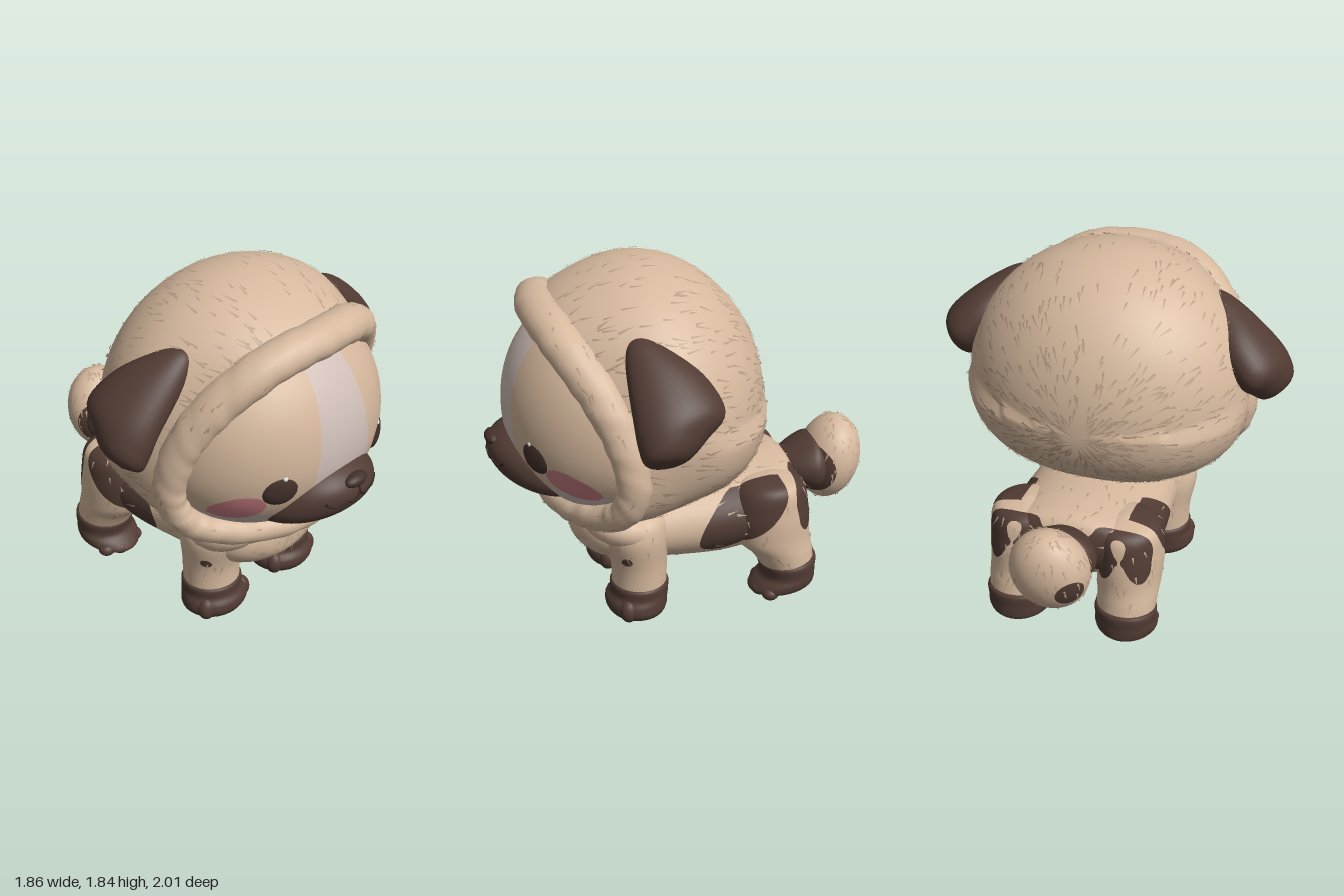
import * as THREE from 'three';
import { mergeVertices } from 'three/addons/utils/BufferGeometryUtils.js';

const V = (x, y, z) => new THREE.Vector3(x, y, z);
const material = (name, color) => Object.assign(new THREE.MeshStandardMaterial({ color }), { name });

export function createModel() {
  const root = new THREE.Group();
  root.name = 'puppy';
  const fur = material('tan fur', 0xd6b99e);
  const brown = material('brown markings', 0x523c34);
  const skin = material('tan face', 0xd3b69b);
  const pale = material('pale face', 0xcfbeb7);
  const blush = material('pink blush', 0xca7f84);
  const dark = material('dark line', 0x33231f);
  const eyeMat = material('eye brown', 0x43302a);
  const white = material('eye glint', 0xf2eeea);
  const strand = material('fur strands', 0xb79c83);
  strand.side = THREE.DoubleSide;

  let seed = 7;
  const rand = () => (seed = (seed * 16807) % 2147483647) / 2147483647;

  // Smooth skin from fn(u, v); each field k is cut out exactly where it is positive and gets mats[k + 1]
  function skinMesh(name, fn, nu, nv, mats, fields = []) {
    const mean = V(0, 0, 0), pts = [];
    for (let j = 0; j <= nv; j++) for (let i = 0; i <= nu; i++) {
      pts.push(fn(i === nu ? 0 : i / nu, j / nv));
      mean.add(pts.at(-1));
    }
    mean.divideScalar(pts.length);
    const lists = mats.map(() => []);
    for (let j = 0; j < nv; j++) for (let i = 0; i < nu; i++) {
      const a = j * (nu + 1) + i, c = a + nu + 1;
      lists[0].push([pts[a], pts[a + 1], pts[c + 1]], [pts[a], pts[c + 1], pts[c]]);
    }
    fields.forEach((field, k) => {
      const rest = [];
      for (const t of lists[0]) {
        const f = t.map(field), inside = [], outside = [];
        t.forEach((p, i) => {
          const n = (i + 1) % 3;
          (f[i] > 0 ? inside : outside).push(p);
          if (f[i] > 0 === f[n] > 0) return;
          const cut = p.clone().lerp(t[n], f[i] / (f[i] - f[n]));
          inside.push(cut); outside.push(cut);
        });
        for (const [poly, out] of [[inside, lists[k + 1]], [outside, rest]])
          for (let i = 2; i < poly.length; i++) out.push([poly[0], poly[i - 1], poly[i]]);
      }
      lists[0] = rest;
    });
    const volume = lists.flat().reduce((sum, t) => {
      const [A, B, C] = t.map(p => p.clone().sub(mean));
      return sum + A.dot(B.cross(C));
    }, 0);
    let geo = new THREE.BufferGeometry().setFromPoints(lists.flat().flatMap(t => (volume < 0 ? [t[0], t[2], t[1]] : t)));
    let start = 0;
    lists.forEach((l, k) => { geo.addGroup(start, l.length * 3, k); start += l.length * 3; });
    geo = mergeVertices(geo, 1e-5);
    geo.computeVertexNormals();
    const mesh = new THREE.Mesh(geo, mats.length > 1 ? mats : mats[0]);
    mesh.name = name;
    root.add(mesh);
  }

  // Loft of ellipses: rings of [x, y, z, radiusU, radiusW]
  function loft(rings, U, W) {
    const mid = new THREE.CatmullRomCurve3(rings.map(r => V(r[0], r[1], r[2])), false, 'catmullrom');
    const rad = new THREE.CatmullRomCurve3(rings.map(r => V(r[3], r[4], 0)), false, 'catmullrom');
    return (u, v) => {
      const a = u * Math.PI * 2, r = rad.getPoint(v);
      return mid.getPoint(v).addScaledVector(U, Math.max(r.x, 0) * Math.cos(a)).addScaledVector(W, Math.max(r.y, 0) * Math.sin(a));
    };
  }
  const X = V(1, 0, 0), Y = V(0, 1, 0), Z = V(0, 0, 1);
  const mirror = (fn, s) => (u, v) => { const p = fn(u, v); p.x *= s; return p; };

  function ball(name, mat, [x, y, z], [a, b, c], yaw = 0) {
    const m = new THREE.Mesh(new THREE.SphereGeometry(1, 24, 14), mat);
    m.position.set(x, y, z); m.scale.set(a, b, c); m.rotation.y = yaw; m.name = name;
    root.add(m);
    return m;
  }

  // Slim raised strands scattered over a surface, combed along v
  function strands(name, fn, count, length, centre, v0 = 0.03, v1 = 0.92) {
    const pos = [];
    for (let k = 0; k < count; k++) {
      const u = rand() * 0.98, v = v0 + (v1 - v0) * rand(), p = fn(u, v);
      const dv = fn(u, v + 0.01).sub(p).normalize(), du = fn(u + 0.01, v).sub(p).normalize();
      const n = du.clone().cross(dv).normalize();
      if (n.dot(p.clone().sub(centre)) < 0) n.negate();
      const dir = dv.addScaledVector(du, (rand() - 0.5) * 0.7).normalize();
      const side = dir.clone().cross(n).multiplyScalar(0.006);
      const base = p.clone().addScaledVector(n, 0.004);
      const tip = base.clone().addScaledVector(dir, length * (0.6 + 0.7 * rand())).addScaledVector(n, 0.003);
      pos.push(base.clone().add(side), tip, base.clone().sub(side));
    }
    const g = new THREE.BufferGeometry().setFromPoints(pos);
    g.computeVertexNormals();
    const m = new THREE.Mesh(g, strand);
    m.name = name;
    root.add(m);
  }

  // Distance to a superellipsoid along d, with separate upper and lower heights
  const reach = (d, rx, up, down, rz, p) => Math.pow(
    Math.abs(d.x / rx) ** p + Math.abs(d.y / (d.y > 0 ? up : down)) ** p + Math.abs(d.z / rz) ** p, -1 / p);

  // Hood: sweeps from the rim curve to the back of the head
  const half = [[0.3, 1.565, 0.65], [0.52, 1.38, 0.52], [0.635, 1.15, 0.42], [0.66, 0.91, 0.38], [0.57, 0.735, 0.44], [0.33, 0.645, 0.57]];
  const rim = new THREE.CatmullRomCurve3([V(0, 1.61, 0.7), ...half.map(p => V(...p)), V(0, 0.62, 0.66),
    ...half.slice().reverse().map(p => V(-p[0], p[1], p[2]))], true, 'catmullrom');
  const C = V(0, 1.12, 0.22), back = V(0, -0.05, -1).normalize();
  const hood = (u, v) => {
    const d0 = rim.getPoint(u % 1).sub(C), r0 = d0.length() + 0.02;
    d0.normalize();
    const ang = d0.angleTo(back);
    const d = d0.multiplyScalar(Math.sin((1 - v) * ang)).addScaledVector(back, Math.sin(v * ang)).normalize();
    const r = THREE.MathUtils.lerp(r0, reach(d, 0.755, 0.71, 0.5, 0.63, d.y > 0 ? 2 : 2.3), THREE.MathUtils.smoothstep(v, 0, 0.34));
    return d.multiplyScalar(r).add(C);
  };
  skinMesh('hood', hood, 72, 44, [fur]);
  strands('hoodFur', hood, 1100, 0.075, C);

  // Puffy rim around the face
  const rimTube = (u, v) => {
    const p = rim.getPoint(v % 1), t = rim.getTangent(v % 1), a = u * Math.PI * 2;
    const n = p.clone().sub(V(0, 1.1, p.z));
    n.addScaledVector(t, -n.dot(t)).normalize();
    const b = t.clone().cross(n), w = v * Math.PI * 2;
    const s = 0.071 + 0.02 * THREE.MathUtils.smoothstep(p.y, 0.8, 1.55) + 0.003 * Math.sin(w * 29 + 3 * Math.sin(a)) * Math.sin(w * 7 + a);
    return p.addScaledVector(n, s * Math.cos(a)).addScaledVector(b, s * 1.15 * Math.sin(a));
  };
  skinMesh('hoodRim', rimTube, 18, 200, [fur]);
  strands('rimFur', rimTube, 180, 0.045, V(0, 1.1, 0.4));

  // Face with blush, pale blaze and pale chin
  const face = (u, v) => {
    const a = u * Math.PI * 2, th = v * 1.45;
    const d = V(Math.sin(th) * Math.cos(a), Math.sin(th) * Math.sin(a), Math.cos(th));
    return d.multiplyScalar(reach(d, 0.66, 0.6, 0.52, 0.6, 2.1)).add(V(0, 1.08, 0.3));
  };
  skinMesh('face', face, 90, 60, [skin, blush, pale], [
    p => 0.085 - Math.hypot(Math.abs(p.x) - 0.48, p.y - 0.88),
    p => Math.max(0.125 + (1.5 - p.y) * 0.14 - Math.abs(p.x), 0.82 - p.y)]);

  // Muzzle, nose and mouth
  const power = (x, e) => Math.sign(x) * Math.abs(x) ** e;
  const onMuzzle = (dx, dy, dz) => V(0.325 * dx * (1 - 0.2 * dy), 0.85 + 0.183 * dy, 0.68 + 0.3 * dz + 0.07 * dy);
  skinMesh('muzzle', (u, v) => {
    const a = u * Math.PI * 2, r = Math.sin(v * Math.PI);
    return onMuzzle(r * power(Math.cos(a), 0.85), r * power(Math.sin(a), 0.85), Math.cos(v * Math.PI));
  }, 48, 32, [brown]);
  const mouthPoint = (x, y) => {
    const dy = (y - 0.85) / 0.183, dx = x / 0.325 / (1 - 0.2 * dy);
    const r = (Math.abs(dx) ** 2.353 + Math.abs(dy) ** 2.353) ** 0.425;
    return onMuzzle(dx, dy, Math.sqrt(1 - r * r));
  };
  ball('nose', eyeMat, [0, 0.955, 0.958], [0.075, 0.033, 0.04]);
  const lip = [[0, 0.93], [0.005, 0.895], [0.045, 0.865], [0.09, 0.875], [0.13, 0.86], [0.17, 0.87], [0.185, 0.89]];
  for (const s of [1, -1]) {
    const curve = new THREE.CatmullRomCurve3(lip.map(([x, y]) => mouthPoint(x * s, y)));
    const line = new THREE.Mesh(new THREE.TubeGeometry(curve, 32, 0.006, 6), dark);
    line.name = 'mouth';
    root.add(line);
    ball('eye', eyeMat, [0.35 * s, 1.0, 0.778], [0.1, 0.097, 0.045], 0.55 * s);
    ball('eyeGlint', white, [0.345 * s, 1.055, 0.816], [0.013, 0.014, 0.01], 0.52 * s);
  }

  // Folded ears
  const ear = loft([[0.46, 1.6, 0.31, 0, 0], [0.49, 1.58, 0.305, 0.05, 0.06], [0.55, 1.525, 0.27, 0.085, 0.12], [0.65, 1.43, 0.215, 0.115, 0.185],
    [0.765, 1.31, 0.19, 0.13, 0.212], [0.82, 1.22, 0.235, 0.125, 0.16], [0.855, 1.145, 0.27, 0.095, 0.1], [0.865, 1.12, 0.28, 0, 0]],
    V(0.74, 0.67, 0), Z);
  for (const s of [1, -1]) skinMesh('ear', mirror(ear, s), 32, 32, [brown]);

  // Coat patches shared by body and legs
  const patches = p => {
    const x = Math.abs(p.x), dz = p.z + 0.24, dy = p.y - 0.53;
    const along = (-dz * 0.4 + dy * 0.32) / 0.51, across = (dz * 0.32 + dy * 0.4) / 0.51;
    const flank = 1 - Math.hypot(along / 0.27, across / 0.125);
    const rump = 1 - Math.hypot((p.z + 0.55 + (0.66 - p.y) * 0.14) / 0.05, (p.y - 0.55) / 0.14);
    const spot = 1 - Math.hypot(p.z - 0.37, p.y - 0.365) / 0.026;
    return Math.max(Math.min(flank, (x - 0.28) * 5), Math.min(rump, (x - 0.06) * 9, (0.43 - x) * 9), Math.min(spot, (x - 0.3) * 9));
  };
  const body = loft([[0, 0.48, 0.6, 0, 0], [0, 0.48, 0.57, 0.22, 0.13], [0, 0.47, 0.42, 0.36, 0.21], [0, 0.46, 0.1, 0.38, 0.24],
    [0, 0.47, -0.2, 0.4, 0.25], [0, 0.51, -0.42, 0.39, 0.22], [0, 0.56, -0.56, 0.32, 0.14], [0, 0.57, -0.62, 0, 0]], X, Y);
  skinMesh('body', body, 64, 56, [fur, brown], [patches]);
  strands('bodyFur', body, 220, 0.055, V(0, 0.47, 0));

  // Legs, paws and chest ruff
  const hindTilt = V(0, -0.1, 1);
  const frontLeg = loft([[0.24, 0.63, 0.3, 0, 0], [0.25, 0.58, 0.3, 0.15, 0.15], [0.275, 0.48, 0.3, 0.175, 0.17], [0.27, 0.3, 0.28, 0.155, 0.145],
    [0.27, 0.13, 0.28, 0.15, 0.14]], X, Z);
  const frontPaw = loft([[0.27, 0.19, 0.28, 0.1, 0.1], [0.27, 0.185, 0.28, 0.158, 0.148], [0.27, 0.13, 0.28, 0.16, 0.15], [0.265, 0.09, 0.295, 0.182, 0.16],
    [0.265, 0.04, 0.295, 0.18, 0.155], [0.265, 0.005, 0.29, 0.13, 0.12], [0.265, 0.003, 0.29, 0, 0]], X, Z);
  const hindLeg = loft([[0.26, 0.7, -0.42, 0, 0], [0.265, 0.66, -0.42, 0.155, 0.16], [0.28, 0.52, -0.41, 0.172, 0.21], [0.285, 0.36, -0.43, 0.165, 0.2],
    [0.29, 0.27, -0.48, 0.155, 0.165], [0.29, 0.17, -0.52, 0.148, 0.14]], X, Z);
  const hindPaw = loft([[0.29, 0.215, -0.515, 0.1, 0.1], [0.29, 0.21, -0.515, 0.157, 0.15], [0.29, 0.14, -0.52, 0.155, 0.145], [0.29, 0.1, -0.5, 0.162, 0.165],
    [0.29, 0.06, -0.485, 0.15, 0.175], [0.29, 0.04, -0.485, 0.1, 0.13], [0.29, 0.04, -0.485, 0, 0]], X, hindTilt);
  for (const s of [1, -1]) {
    skinMesh('frontLeg', mirror(frontLeg, s), 40, 36, [fur, brown], [patches]);
    skinMesh('frontPaw', mirror(frontPaw, s), 32, 24, [brown]);
    skinMesh('hindLeg', mirror(hindLeg, s), 48, 44, [fur, brown], [patches]);
    skinMesh('hindPaw', mirror(hindPaw, s), 32, 24, [brown]);
    strands('frontLegFur', mirror(frontLeg, s), 25, 0.05, V(0.27 * s, 0.35, 0.28), 0.3, 0.8);
    strands('hindLegFur', mirror(hindLeg, s), 40, 0.05, V(0.28 * s, 0.4, -0.45), 0.2, 0.85);
    for (let k = 0; k < 4; k++) {
      const off = (k - 1.5) * 0.085, bend = Math.abs(k - 1.5) * 0.035;
      ball('frontToe', brown, [(0.265 + off) * s, 0.068, 0.415 - bend], [0.05, 0.062, 0.047]);
      ball('hindToe', brown, [(0.29 + off * 0.8) * s, 0.05, -0.345 - bend], [0.044, 0.035, 0.045]);
      // Layered tufts across the chest
      const tuft = ball('chestTuft', fur, [(0.05 + k * 0.095) * s, 0.43 + k * 0.012, 0.525 - k * k * 0.014], [0.07, 0.1, 0.05], 0.25 * k * s);
      tuft.rotation.z = 0.3 * s;
    }
    ball('shoulderRuff', fur, [0.27 * s, 0.52, 0.34], [0.18, 0.115, 0.23]).rotation.x = -0.25;
  }

  // Curled tail: brown base and fluffy end with a dark curl centre
  const tailBase = loft([[0, 0.59, -0.52, 0, 0], [0, 0.59, -0.54, 0.08, 0.07], [0, 0.6, -0.6, 0.145, 0.1], [0, 0.605, -0.68, 0.188, 0.14],
    [0, 0.61, -0.74, 0.188, 0.15], [0, 0.61, -0.81, 0.12, 0.1], [0, 0.61, -0.82, 0, 0]], X, Y);
  skinMesh('tailBase', tailBase, 36, 28, [brown]);
  const hub = V(0, 0.62, -0.835), curl = V(-0.75, -0.25, -0.6).normalize();
  const tail = (u, v) => {
    const a = u * Math.PI * 2, th = v * Math.PI, y = 0.23 * Math.cos(th);
    return V(0.2 * Math.sin(th) * Math.cos(a), y, 0.163 * Math.sin(th) * Math.sin(a) - y * 0.13).add(hub);
  };
  skinMesh('tailEnd', tail, 56, 40, [fur, brown], [p => Math.max(
    0.15 - Math.hypot(p.z + 0.66, p.y - 0.605), p.clone().sub(hub).normalize().dot(curl) - 0.91)]);
  strands('tailFur', tail, 150, 0.04, hub, 0.05, 0.9);
  return root;
}
